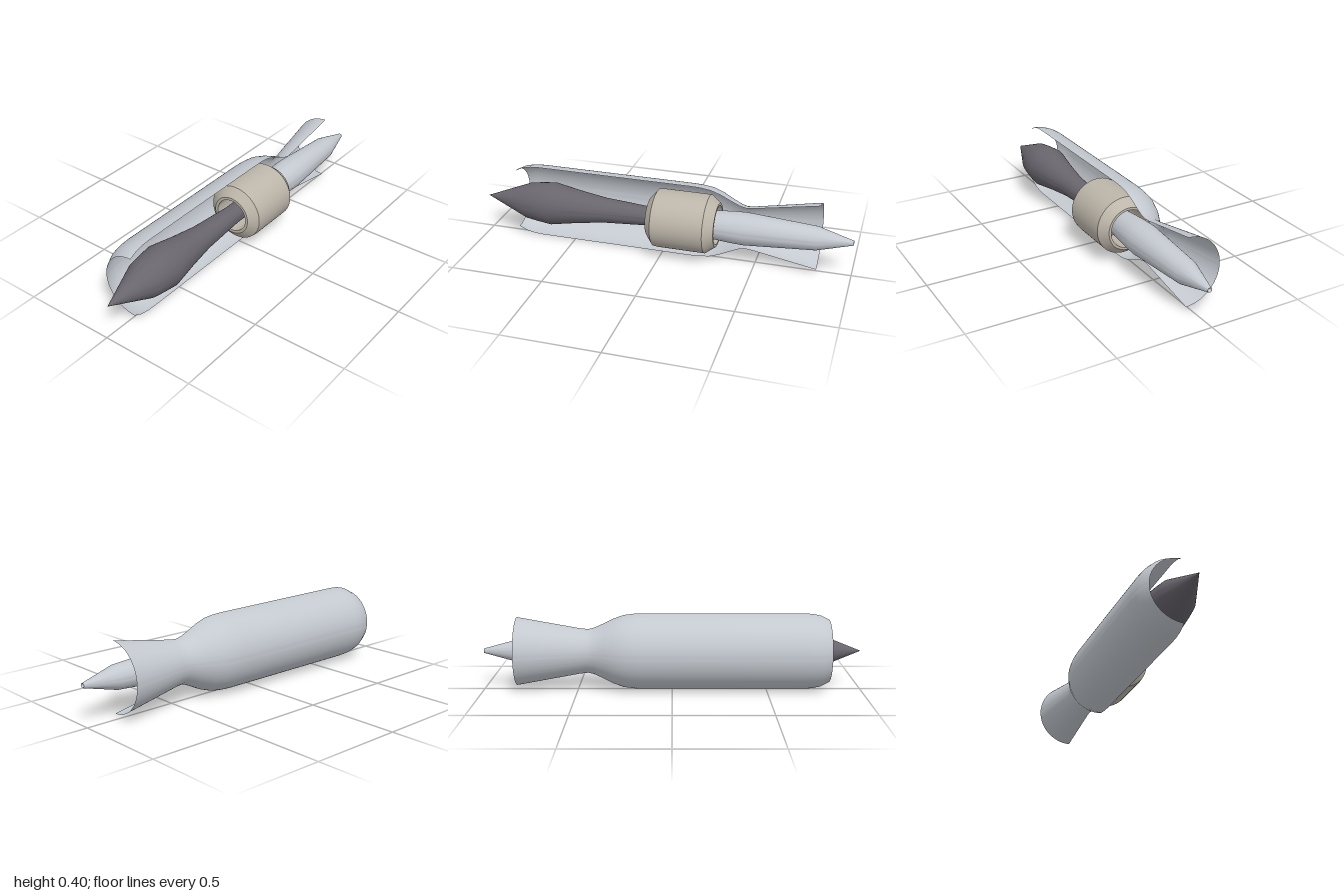
import * as THREE from 'three';
import { toCreasedNormals } from 'three/addons/utils/BufferGeometryUtils.js';

const AXIS_Y = 0.203, AXIS_Z = 0.024;

const paint = (color, side = THREE.FrontSide) => new THREE.MeshStandardMaterial({ color, side });

// Turned part along the x axis; profile is a list of [x, radius]
function turned(name, profile, material, start = 0, sweep = Math.PI * 2) {
  const points = profile.map(([x, r]) => new THREE.Vector2(r, x));
  const geometry = new THREE.LatheGeometry(points, 64, start, sweep).rotateZ(-Math.PI / 2);
  const mesh = new THREE.Mesh(toCreasedNormals(geometry, 0.45), material);
  mesh.name = name;
  return mesh;
}

export function createModel() {
  const engine = new THREE.Group();
  engine.name = 'cutawayEngine';
  const steel = 0xc4c9d0;
  const beige = paint(0xbdb6aa, THREE.DoubleSide);

  // Thin outer shell, cut in half to expose the core
  engine.add(turned('outerShell', [
    [-0.83, 0.168], [-0.785, 0.19], [-0.74, 0.199], [-0.69, 0.202], [0.15, 0.202], [0.2, 0.2],
    [0.255, 0.193], [0.31, 0.174], [0.36, 0.149], [0.41, 0.126], [0.445, 0.117], [0.49, 0.122], [0.822, 0.182],
  ], paint(steel, THREE.DoubleSide), Math.PI / 2, Math.PI));

  // Intake spike
  engine.add(turned('intakeSpike', [
    [-1, 0], [-0.757, 0.097], [-0.69, 0.107], [-0.615, 0.115], [-0.47, 0.089],
    [-0.32, 0.067], [-0.067, 0.05], [0.05, 0.05], [0.05, 0],
  ], paint(0x68656d)));

  // Hollow core casing
  engine.add(turned('coreCasing', [
    [-0.067, 0.09], [-0.067, 0.105], [-0.028, 0.152], [0.0, 0.155], [0.25, 0.155],
    [0.3, 0.116], [0.3, 0.103], [-0.067, 0.09],
  ], beige));

  // Exhaust plug with a small dimple at its tip
  engine.add(turned('exhaustPlug', [
    [0.04, 0], [0.04, 0.055], [0.3, 0.077], [0.37, 0.083], [0.446, 0.086], [0.815, 0.062], [1, 0.012], [0.98, 0],
  ], paint(steel)));

  // Radial struts holding the core inside the casing
  const struts = new THREE.Group();
  struts.name = 'struts';
  for (let i = 0; i < 6; i++) {
    const pivot = new THREE.Group();
    const strut = new THREE.Mesh(new THREE.BoxGeometry(0.12, 0.06, 0.004), beige);
    strut.name = 'strut';
    strut.position.set(0.14, 0.075, 0);
    pivot.rotation.x = Math.PI / 2 + i * Math.PI / 3;
    pivot.add(strut);
    struts.add(pivot);
  }
  engine.add(struts);

  engine.position.set(0, AXIS_Y, AXIS_Z);
  const model = new THREE.Group();
  model.add(engine);
  return model;
}
